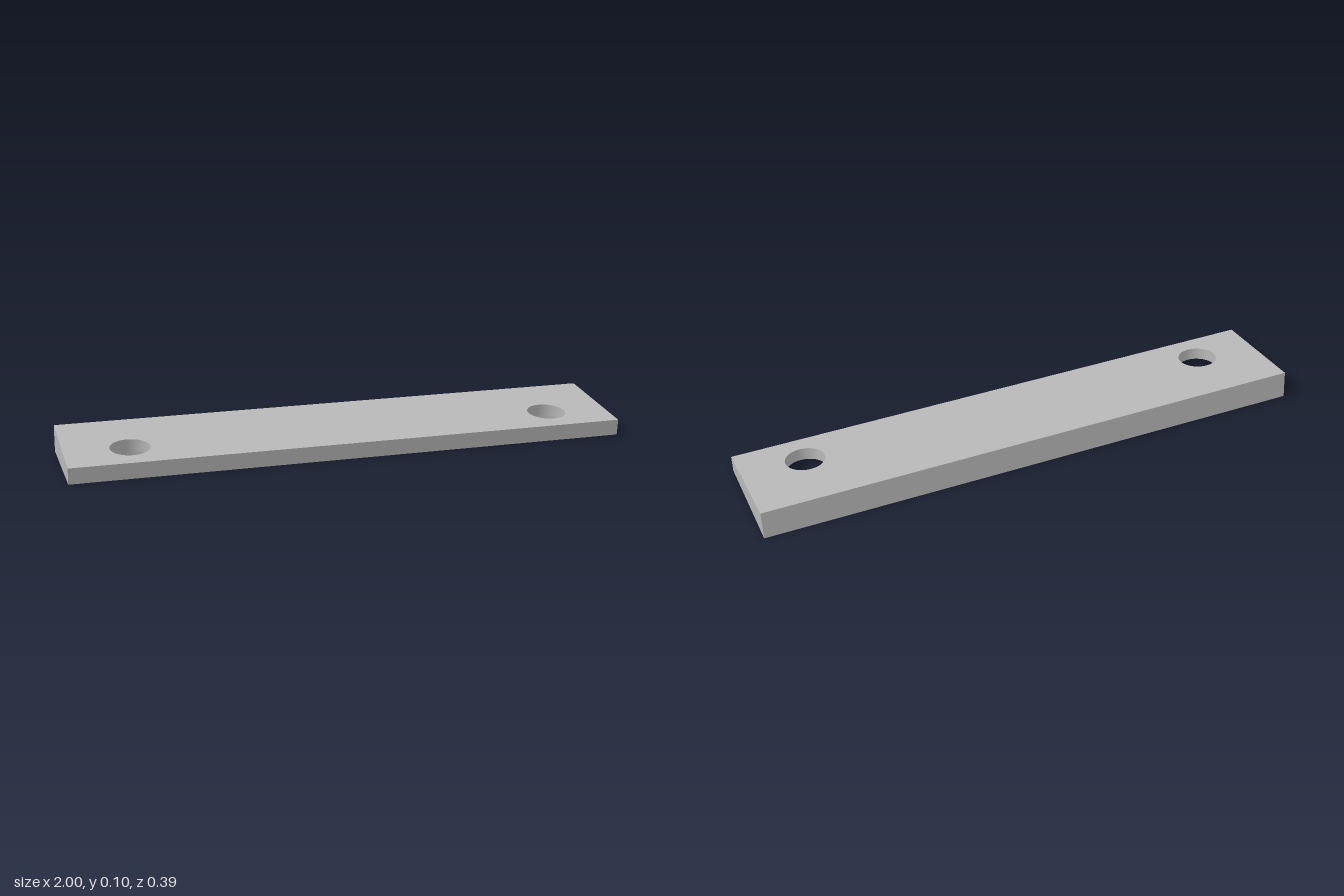
import * as THREE from 'three';

const TILT = 0.1064;        // slope of the top face
const HALF_LENGTH = 1;
const HALF_WIDTH = 0.193;
const HOLE_X = 0.772;
const HOLE_Z = 0.06;
const HOLE_R = 0.07;
const BORE_R = 0.122;
const FLOOR = -0.044;       // counterbore floor below the top face

// In the tilted frame: top face at y = 0, underside on the ground plane
const topY = () => 0;
const floorY = () => FLOOR;
const groundY = (z) => -0.0789 + z * Math.tan(TILT);

const outline = [[-1, -1], [1, -1], [1, 1], [-1, 1]]
  .map(([x, y]) => new THREE.Vector2(x * HALF_LENGTH, y * HALF_WIDTH));

// Clockwise circle in plan (plan y points to the back)
function circle(cx, r, n = 48) {
  return Array.from({ length: n }, (_, i) => {
    const a = -i / n * Math.PI * 2;
    return new THREE.Vector2(cx + r * Math.cos(a), -HOLE_Z + r * Math.sin(a));
  });
}

// Flat face with holes, dropped on to a height rule
function face(points, holes, heightAt, down = false) {
  const shape = new THREE.Shape(points);
  shape.holes = holes.map((h) => new THREE.Path(h));
  const g = new THREE.ShapeGeometry(shape).rotateX(-Math.PI / 2);
  const p = g.attributes.position;
  for (let i = 0; i < p.count; i++) p.setY(i, heightAt(p.getZ(i)));
  if (down) {
    const ix = g.index;
    for (let i = 0; i < ix.count; i += 3) {
      const b = ix.getX(i + 1);
      ix.setX(i + 1, ix.getX(i + 2));
      ix.setX(i + 2, b);
    }
  }
  g.computeVertexNormals();
  return g;
}

// Closed wall between two height rules
function wall(points, upper, lower, flat = false) {
  const n = points.length, pos = [], idx = [];
  points.forEach((p, i) => {
    const z = -p.y, a = 2 * i, b = 2 * ((i + 1) % n);
    pos.push(p.x, upper(z), z, p.x, lower(z), z);
    idx.push(a + 1, b + 1, b, a + 1, b, a);
  });
  let g = new THREE.BufferGeometry();
  g.setAttribute('position', new THREE.Float32BufferAttribute(pos, 3));
  g.setIndex(idx);
  if (flat) g = g.toNonIndexed();
  g.computeVertexNormals();
  return g;
}

export function createModel() {
  const model = new THREE.Group();
  model.name = 'wedgePlate';
  const grey = new THREE.MeshStandardMaterial({ color: 0xb8b8b8 });
  grey.name = 'grey';

  const plate = new THREE.Group();
  plate.name = 'tiltedPlate';
  plate.rotation.x = TILT;
  plate.position.set(0, 0.0785, 0.006);
  model.add(plate);

  const add = (name, geometry) => {
    const mesh = new THREE.Mesh(geometry, grey);
    mesh.name = name;
    plate.add(mesh);
  };

  // Wedge body
  const sides = [-HOLE_X, HOLE_X];
  add('topFace', face(outline, sides.map((x) => circle(x, HOLE_R)), topY));
  add('underside', face(outline, sides.map((x) => circle(x, BORE_R)), groundY, true));
  add('outerWalls', wall(outline, topY, groundY, true));

  // Screw holes, counterbored from below
  for (const x of sides) {
    const side = x > 0 ? 'left' : 'right';
    const hole = circle(x, HOLE_R), bore = circle(x, BORE_R);
    add(side + 'HoleWall', wall(hole, topY, floorY));
    add(side + 'CounterboreWall', wall(bore, floorY, groundY));
    add(side + 'CounterboreFloor', face(bore, [hole], floorY, true));
  }
  return model;
}
